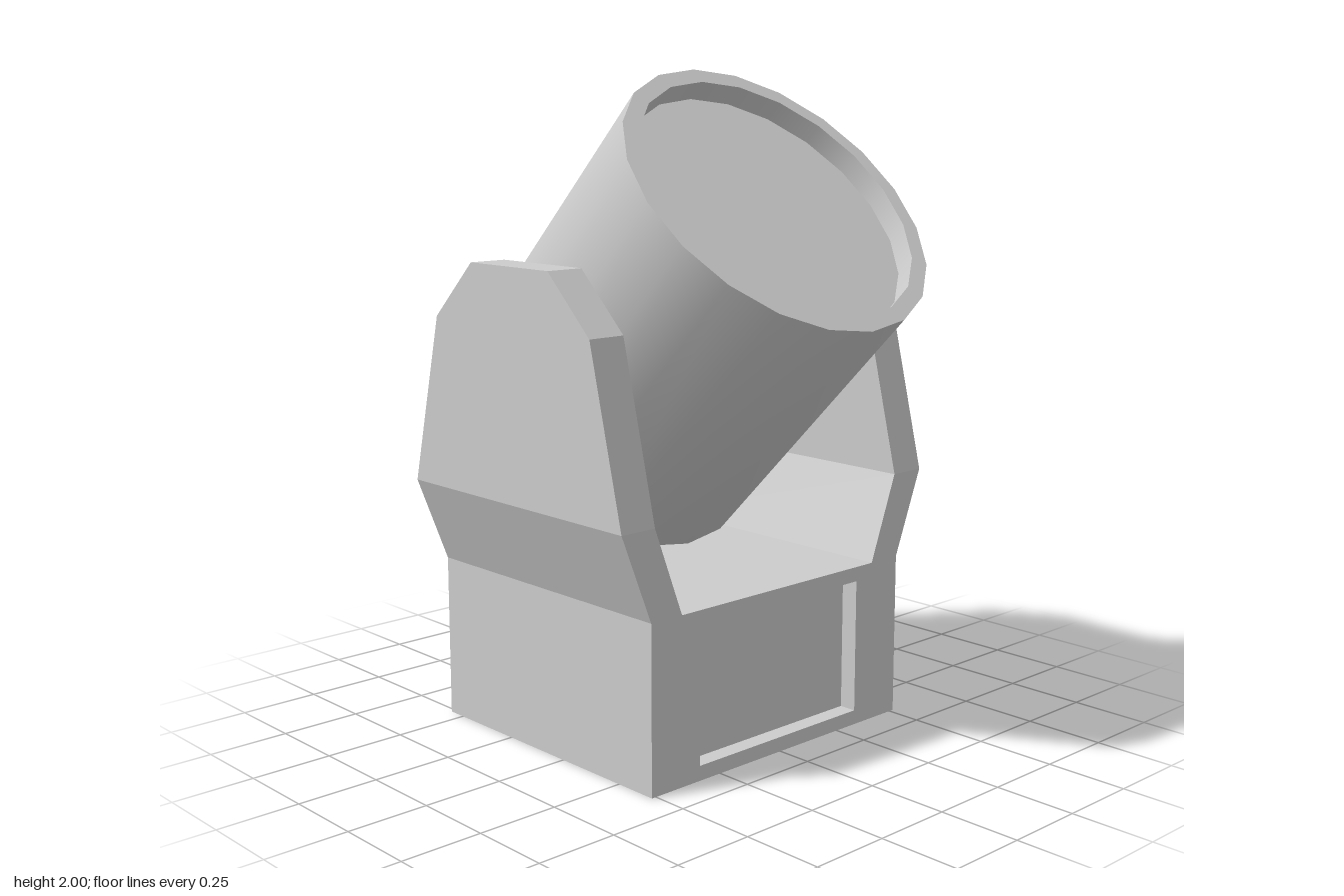
import * as THREE from 'three';
import { mergeGeometries } from 'three/addons/utils/BufferGeometryUtils.js';

const material = new THREE.MeshStandardMaterial({ color: 0xcccccc });

function addMesh(parent, name, geometry) {
  const mesh = new THREE.Mesh(geometry, material);
  mesh.name = name;
  parent.add(mesh);
  return mesh;
}

// Lofts rectangular sections [y, xMin, xMax, zBack, zFront] into a flat-faced solid
function loftRectangles(sections) {
  const rings = sections.map(([y, x0, x1, z0, z1]) => [
    [x0, y, z1], [x1, y, z1], [x1, y, z0], [x0, y, z0],
  ]);
  const positions = [];
  const quad = (a, b, c, d) => positions.push(...a, ...b, ...c, ...a, ...c, ...d);
  for (let i = 0; i < rings.length - 1; i++) {
    for (let j = 0; j < 4; j++) {
      const k = (j + 1) % 4;
      quad(rings[i][j], rings[i][k], rings[i + 1][k], rings[i + 1][j]);
    }
  }
  quad(...rings[rings.length - 1]);
  quad(...rings[0].slice().reverse());
  const geometry = new THREE.BufferGeometry();
  geometry.setAttribute('position', new THREE.Float32BufferAttribute(positions, 3));
  geometry.computeVertexNormals();
  return geometry;
}

// Each profile is smooth in itself; edges between profiles stay sharp
function latheProfiles(profiles, sides) {
  return mergeGeometries(profiles.map((points) =>
    new THREE.LatheGeometry(points.map(([r, y]) => new THREE.Vector2(r, y)), sides)));
}

export function createModel() {
  const model = new THREE.Group();
  model.name = 'swivelLamp';

  const halfWidth = 0.515, baseTop = 0.505, back = -0.56, front = 0.39, recess = 0.055;

  // Base block with a recessed front panel
  const base = new THREE.Group();
  base.name = 'base';
  model.add(base);
  const blockDepth = front - recess - back;
  addMesh(base, 'baseBlock', new THREE.BoxGeometry(halfWidth * 2, baseTop, blockDepth))
    .position.set(0, baseTop / 2, back + blockDepth / 2);

  const frame = new THREE.Shape([
    [-halfWidth, 0], [halfWidth, 0], [halfWidth, baseTop], [-halfWidth, baseTop],
  ].map((p) => new THREE.Vector2(...p)));
  frame.holes.push(new THREE.Path([
    [-0.33, 0.045], [-0.33, 0.46], [0.33, 0.46], [0.33, 0.045],
  ].map((p) => new THREE.Vector2(...p))));
  addMesh(base, 'panelFrame', new THREE.ExtrudeGeometry(frame, { depth: recess, bevelEnabled: false }))
    .position.z = front - recess;

  // Yoke arms: flare outward, then taper to a chamfered top
  const armSections = [ // y, inner x, outer x, back z, front z
    [baseTop, 0.4, halfWidth, back, front],
    [0.77, 0.5, 0.62, back, front],
    [1.285, 0.5, 0.62, -0.435, 0.265],
    [1.455, 0.5, 0.62, -0.26, 0.09],
  ];
  for (const side of [1, -1]) {
    const sections = armSections.map(([y, inner, outer, z0, z1]) =>
      side > 0 ? [y, inner, outer, z0, z1] : [y, -outer, -inner, z0, z1]);
    addMesh(model, side > 0 ? 'leftArm' : 'rightArm', loftRectangles(sections));
  }

  // Lamp head, tilted up; its origin is the centre of the front rim
  const head = new THREE.Group();
  head.name = 'head';
  head.position.set(0, 1.647, 0.366);
  head.rotation.x = Math.PI / 4;
  model.add(head);
  const radius = 0.5, bore = 0.449, length = 1.035, tail = -length - 0.246;
  addMesh(head, 'housing', latheProfiles([
    [[0, tail], [0.232, tail]],                       // rear cap
    [[0.232, tail], [radius, -length], [radius, 0]],  // cone and barrel
    [[radius, 0], [bore, 0]],                         // rim
    [[bore, 0], [bore, -0.07]],                       // recess wall
  ], 20));
  addMesh(head, 'lens', latheProfiles([[[bore, -0.07], [0, -0.07]]], 20));

  return model;
}
